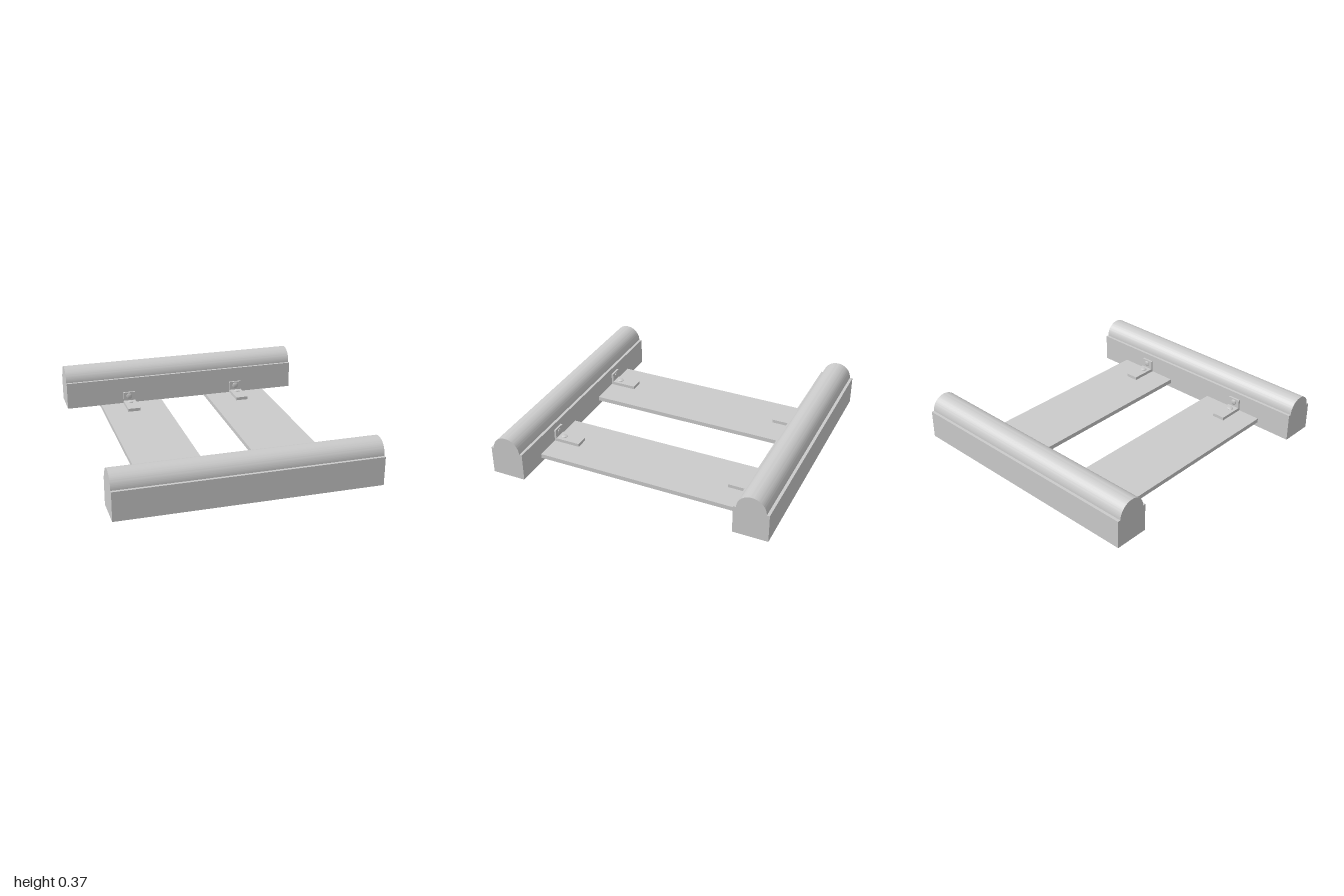
import * as THREE from 'three';
import { toCreasedNormals } from 'three/addons/utils/BufferGeometryUtils.js';

const material = new THREE.MeshStandardMaterial({ color: 0xcccccc });

function part(name, geometry, x, y, z) {
  const mesh = new THREE.Mesh(geometry, material);
  mesh.name = name;
  mesh.position.set(x, y, z);
  return mesh;
}

function box(name, x0, x1, y0, y1, z0, z1) {
  return part(name, new THREE.BoxGeometry(x1 - x0, y1 - y0, z1 - z0),
    (x0 + x1) / 2, (y0 + y1) / 2, (z0 + z1) / 2);
}

// Square beam with a slightly narrower half-round top, running along x
function railGeometry() {
  const shape = new THREE.Shape();
  shape.moveTo(-0.12, 0);
  shape.lineTo(0.12, 0);
  shape.lineTo(0.12, 0.2);
  shape.lineTo(0.1, 0.2);
  shape.absarc(0, 0.2, 0.1, 0, Math.PI, false);
  shape.lineTo(-0.12, 0.2);
  shape.closePath();
  const geometry = new THREE.ExtrudeGeometry(shape, { depth: 1.8, bevelEnabled: false, curveSegments: 32 });
  geometry.translate(0, 0, -0.9).rotateY(Math.PI / 2);
  return toCreasedNormals(geometry, 0.5);
}

// Round screw head with a shallow dome, pointing along +y
function screwGeometry() {
  const profile = [[0, 0], [0.022, 0], [0.022, 0.003], [0.015, 0.007], [0, 0.008]]
    .map(([r, y]) => new THREE.Vector2(r, y));
  return toCreasedNormals(new THREE.LatheGeometry(profile, 20), 0.5);
}

// L-shaped bracket: upright against z = 0, foot reaching to +z
function bracket(name) {
  const group = new THREE.Group();
  group.name = name;
  group.add(box('bracketFoot', -0.046, 0.046, 0, 0.023, 0, 0.194));
  group.add(box('bracketUpright', -0.046, 0.046, 0.023, 0.088, 0, 0.014));
  group.add(part('footScrew', screwGeometry(), 0, 0.023, 0.055));
  const screw = part('uprightScrew', screwGeometry(), 0, 0.058, 0.014);
  screw.rotation.x = Math.PI / 2;
  group.add(screw);
  return group;
}

export function createModel() {
  const model = new THREE.Group();
  model.name = 'railFrame';

  // Front rail on the ground, back rail resting on the slats
  model.add(part('frontRail', railGeometry(), 0, 0, 0.88));
  model.add(part('backRail', railGeometry(), 0, 0.066, -0.88));

  // Two connecting slats, each bracketed to both rails
  for (const [side, x0, x1, bx] of [['right', -0.64, -0.165, -0.423], ['left', 0.2, 0.672, 0.44]]) {
    model.add(box(side + 'Slat', x0, x1, 0.036, 0.067, -0.86, 0.765));
    const back = bracket(side + 'BackBracket');
    back.position.set(bx, 0.067, -0.76);
    const front = bracket(side + 'FrontBracket');
    front.position.set(bx, 0.067, 0.76);
    front.rotation.y = Math.PI;
    model.add(back, front);
  }
  return model;
}
